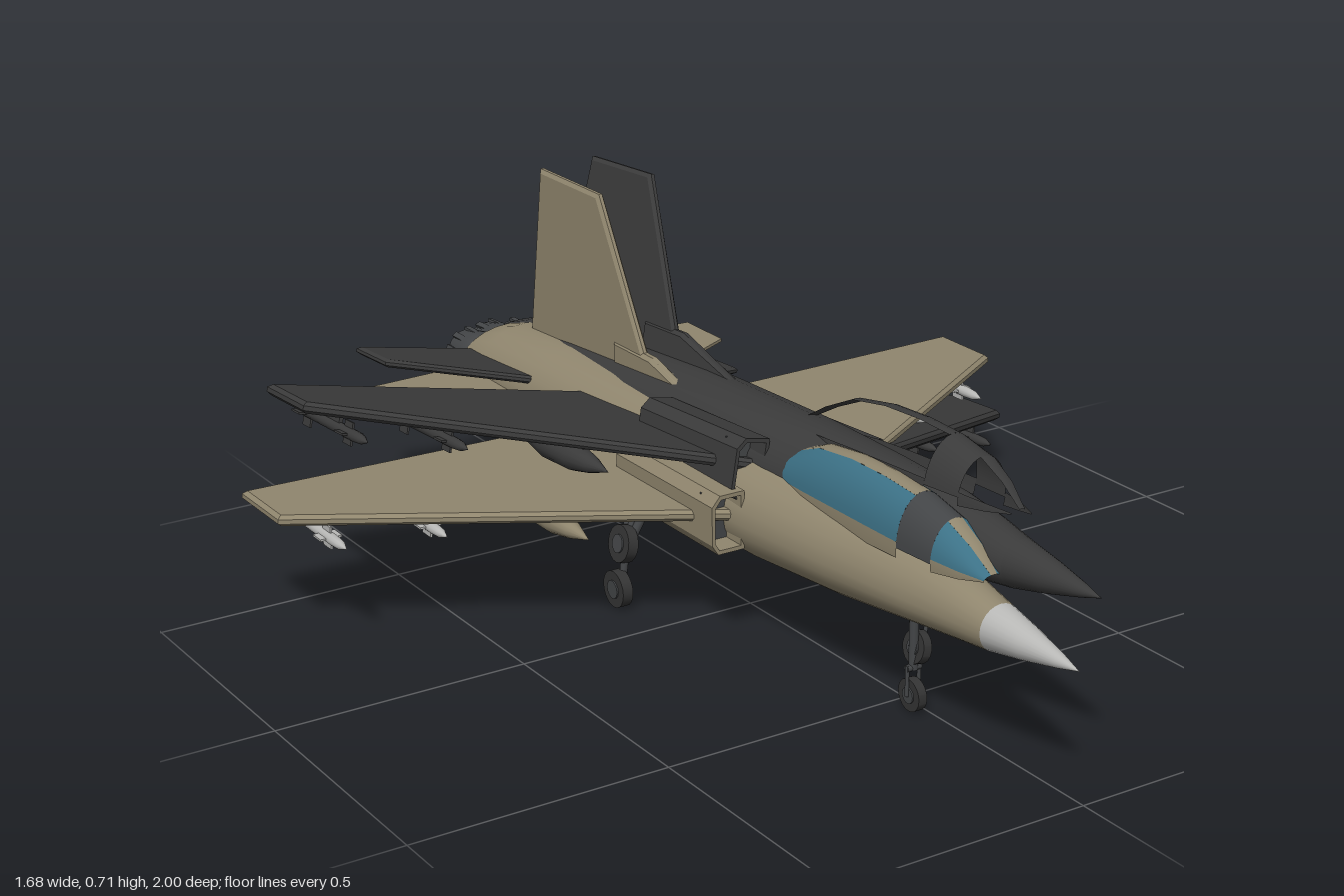
import * as THREE from 'three';
import { toCreasedNormals } from 'three/addons/utils/BufferGeometryUtils.js';

function paint(name, color, double = false) {
  const m = new THREE.MeshStandardMaterial({ color });
  m.name = name;
  if (double) m.side = THREE.DoubleSide;
  return m;
}

// Skin through elliptical sections [z, halfWidth, top, bottom, centreY], listed nose to tail
function loft(rings, a0 = -Math.PI / 2, a1 = Math.PI * 1.5, segs = 24) {
  const pos = [], idx = [];
  rings.forEach(([z, w, top = w, bottom = top, cy = 0], i) => {
    for (let j = 0; j <= segs; j++) {
      const a = a0 + ((a1 - a0) * j) / segs, s = Math.sin(a);
      pos.push(w * Math.cos(a), cy + (s > 0 ? top : bottom) * s, z);
      if (i && j) {
        const d = i * (segs + 1) + j, c = d - 1, b = d - segs - 1, a2 = b - 1;
        idx.push(a2, c, b, b, c, d);
      }
    }
  });
  const g = new THREE.BufferGeometry();
  g.setAttribute('position', new THREE.Float32BufferAttribute(pos, 3));
  g.setIndex(idx);
  g.computeVertexNormals();
  return g;
}

// Thin plate with bevelled rim; points are (x, z) when flat, (z, y) when upright
function plate(points, thick, upright) {
  const shape = new THREE.Shape(points.map(([a, b]) => new THREE.Vector2(a, b)));
  const g = new THREE.ExtrudeGeometry(shape, {
    depth: thick * 0.4, bevelThickness: thick * 0.3, bevelSize: 0.008, bevelOffset: -0.008, bevelSegments: 1,
  });
  g.translate(0, 0, -thick * 0.2);
  return upright ? g.rotateY(-Math.PI / 2) : g.rotateX(Math.PI / 2);
}

function createJet(c) {
  const jet = new THREE.Group();
  const add = (name, geo, mat, x = 0, y = 0, z = 0, parent = jet) => {
    const m = new THREE.Mesh(geo, mat);
    m.name = name;
    m.position.set(x, y, z);
    parent.add(m);
    return m;
  };
  const rod = (name, p, q, r, mat) => {
    const a = new THREE.Vector3(...p), b = new THREE.Vector3(...q), d = b.clone().sub(a);
    const m = add(name, new THREE.CylinderGeometry(r, r, d.length(), 10), mat);
    m.position.copy(a).add(b).multiplyScalar(0.5);
    m.quaternion.setFromUnitVectors(new THREE.Vector3(0, 1, 0), d.normalize());
  };

  // Fuselage and nose cone
  add('noseCone', loft([[1, 0], [0.95, 0.013], [0.87, 0.03], [0.79, 0.044]]), c.nose);
  add('fuselage', loft([
    [0.79, 0.044], [0.7, 0.056, 0.064, 0.052], [0.6, 0.068, 0.08, 0.062], [0.4, 0.093, 0.095, 0.083],
    [0.17, 0.116, 0.107, 0.096], [-0.2, 0.124, 0.115, 0.1], [-0.6, 0.124, 0.108, 0.097],
    [-0.82, 0.122, 0.096, 0.082], [-0.9, 0.115, 0.072, 0.068],
  ]), c.body);
  add('tailCap', loft([[-0.9, 0.115, 0.072, 0.068], [-0.901, 0]]), c.metal);

  // Canopy: sections share a sill height, and bands of the arch become frame or glass
  const sill = 0.082;
  const arch = [
    [0.77, 0.022, 0.008], [0.72, 0.04, 0.045], [0.66, 0.052, 0.074], [0.57, 0.058, 0.093], [0.48, 0.06, 0.1],
    [0.38, 0.06, 0.1], [0.28, 0.058, 0.088], [0.2, 0.05, 0.055], [0.14, 0.035, 0.022],
  ].map(([z, w, h]) => [z, w, h, h, sill]);
  const bands = (name, rings) => {
    add(name + 'Spine', loft(rings, 1.27, 1.87, 4), c.frame);
    for (const s of [0, 1]) {
      const span = (a, b) => (s ? [Math.PI - b, Math.PI - a] : [a, b]);
      add(name + 'Rail', loft(rings, ...span(-0.2, 0.12), 2), c.frame);
      if (c.glass) add(name + 'Glass', loft(rings, ...span(0.12, 1.27), 8), c.glass);
    }
  };
  bands('windscreen', arch.slice(0, 3));
  add('canopyHoop', loft(arch.slice(2, 4), 0, Math.PI, 16), c.hoop);
  bands('canopy', arch.slice(3));

  // Fin with its dorsal fillet
  add('fin', plate([[-0.3, 0.09], [-0.505, 0.45], [-0.735, 0.45], [-0.79, 0.07]], 0.018, true), c.body);
  add('dorsalFillet', plate([[-0.08, 0.1], [-0.31, 0.165], [-0.45, 0.165], [-0.45, 0.08]], 0.024, true), c.body);

  for (const s of [-1, 1]) {
    const mirror = (pts) => pts.map(([x, z]) => [x * s, z]);
    // Wing and tailplane
    add('wing', plate(mirror([[0.08, 0.16], [0.82, -0.295], [0.82, -0.452], [0.08, -0.43]]), 0.022), c.body, 0, 0.008);
    add('tailplane', plate(mirror([[0.08, -0.55], [0.43, -0.73], [0.43, -0.862], [0.08, -0.88]]), 0.016), c.body, 0, 0.002);

    // Engine intake: open lip, solid duct and dark mouth
    const lip = new THREE.Shape([[-0.035, -0.055], [0.022, -0.055], [0.035, -0.035], [0.035, 0.04], [0.018, 0.06], [-0.035, 0.06]]
      .map(([x, y]) => new THREE.Vector2(x * s, y)));
    const duct = new THREE.ExtrudeGeometry(lip, { depth: 0.28, bevelEnabled: false });
    const mouth = lip.clone();
    mouth.holes.push(new THREE.Path([[-0.028, -0.047], [0.019, -0.047], [0.028, -0.032], [0.028, 0.036], [0.015, 0.052], [-0.028, 0.052]]
      .map(([x, y]) => new THREE.Vector2(x * s, y))));
    add('intakeDuct', duct, c.body, 0.138 * s, 0.005, -0.17);
    add('intakeLip', new THREE.ExtrudeGeometry(mouth, { depth: 0.055, bevelEnabled: false }), c.body, 0.138 * s, 0.005, 0.11);
    add('intakeMouth', new THREE.BoxGeometry(0.056, 0.1, 0.004), c.metal, 0.137 * s, 0.007, 0.113);

    // Exhaust nozzle with petals
    const profile = [[0.05, 0], [0.056, 0.05], [0.055, 0.07], [0.046, 0.125], [0.039, 0.125], [0.043, 0.06], [0, 0.05]]
      .map(([r, y]) => new THREE.Vector2(r, y));
    const nozzle = new THREE.Group();
    nozzle.name = 'exhaustNozzle';
    nozzle.position.set(0.055 * s, 0, -0.86);
    nozzle.rotation.x = -Math.PI / 2;
    jet.add(nozzle);
    add('nozzleShell', toCreasedNormals(new THREE.LatheGeometry(profile, 20), 0.6), c.metal, 0, 0, 0, nozzle);
    for (let i = 0; i < 10; i++) {
      const a = (i / 10) * Math.PI * 2;
      add('nozzlePetal', new THREE.BoxGeometry(0.012, 0.055, 0.006), c.metal,
        Math.sin(a) * 0.05, 0.094, Math.cos(a) * 0.05, nozzle).rotation.y = a;
    }

    // Underwing fuel tank and pylon
    add('fuelTank', loft([[0.16, 0], [0.1, 0.017], [0.04, 0.027], [-0.06, 0.027], [-0.12, 0.016], [-0.16, 0]], undefined, undefined, 14),
      c.body, 0.33 * s, -0.042, -0.17);
    add('tankPylon', new THREE.BoxGeometry(0.01, 0.04, 0.14), c.body, 0.33 * s, -0.01, -0.17);

    // Missiles with cross fins
    for (const [x, z] of [[0.55, -0.29], [0.73, -0.34]]) {
      const missile = new THREE.Group();
      missile.name = 'missile';
      missile.position.set(x * s, -0.034, z);
      jet.add(missile);
      add('missileBody', loft([[0.14, 0], [0.115, 0.009], [0.09, 0.011], [-0.13, 0.011], [-0.131, 0]], undefined, undefined, 12),
        c.weapon, 0, 0, 0, missile);
      for (const [fz, span] of [[0.06, 0.044], [-0.11, 0.056]]) {
        add('missileFin', new THREE.BoxGeometry(span, 0.004, 0.032), c.weapon, 0, 0, fz, missile);
        add('missileFin', new THREE.BoxGeometry(0.004, span, 0.032), c.weapon, 0, 0, fz, missile);
      }
      add('missilePylon', new THREE.BoxGeometry(0.008, 0.034, 0.09), c.body, 0, 0.022, -0.02, missile);
    }

    // Main landing gear
    rod('mainLeg', [0.135 * s, -0.05, -0.12], [0.18 * s, -0.14, -0.13], 0.009, c.metal);
    rod('mainLeg', [0.18 * s, -0.14, -0.13], [0.19 * s, -0.213, -0.13], 0.008, c.metal);
    rod('mainBrace', [0.15 * s, -0.05, -0.17], [0.182 * s, -0.165, -0.13], 0.006, c.metal);
    wheel('mainWheel', 0.198 * s, -0.213, -0.13, 0.037, 0.022);
  }

  // Nose landing gear
  rod('noseLeg', [0, -0.05, 0.55], [0, -0.17, 0.55], 0.009, c.metal);
  for (const x of [-0.013, 0.013]) rod('noseFork', [x, -0.16, 0.55], [x, -0.22, 0.55], 0.004, c.metal);
  rod('noseAxle', [-0.015, -0.166, 0.55], [0.015, -0.166, 0.55], 0.007, c.metal);
  wheel('noseWheel', 0, -0.219, 0.55, 0.031, 0.018);

  function wheel(name, x, y, z, r, w) {
    const tyre = new THREE.CylinderGeometry(r, r, w, 20).rotateZ(Math.PI / 2);
    add(name, toCreasedNormals(tyre, 0.6), c.tyre, x, y, z);
    add(name + 'Hub', new THREE.CylinderGeometry(r * 0.5, r * 0.5, w + 0.006, 14).rotateZ(Math.PI / 2), c.metal, x, y, z);
  }
  return jet;
}

export function createModel() {
  const model = new THREE.Group();
  const tan = paint('sandTan', 0x90866e, true);
  const charcoal = paint('charcoal', 0x3b3b3b, true);
  const metal = paint('gunmetal', 0x434547, true);
  const tyre = paint('tyreGrey', 0x343434);
  const pale = paint('paleGrey', 0xb8b8b6);
  const teal = paint('tealGlass', 0x3c7186, true);

  // Level sand-coloured jet
  const sandJet = createJet({ body: tan, nose: pale, frame: tan, glass: teal, hoop: metal, weapon: pale, metal, tyre });
  sandJet.name = 'sandJet';
  sandJet.position.set(-0.02, 0.25, 0);

  // Banked, nose-up dark jet with an unglazed canopy frame
  const darkJet = createJet({ body: charcoal, nose: charcoal, frame: charcoal, hoop: charcoal, weapon: charcoal, metal, tyre });
  darkJet.name = 'darkJet';
  darkJet.position.set(0.035, 0.3, -0.015);
  darkJet.rotation.set(-0.061, 0, -0.206);

  model.add(sandJet, darkJet);
  return model;
}
